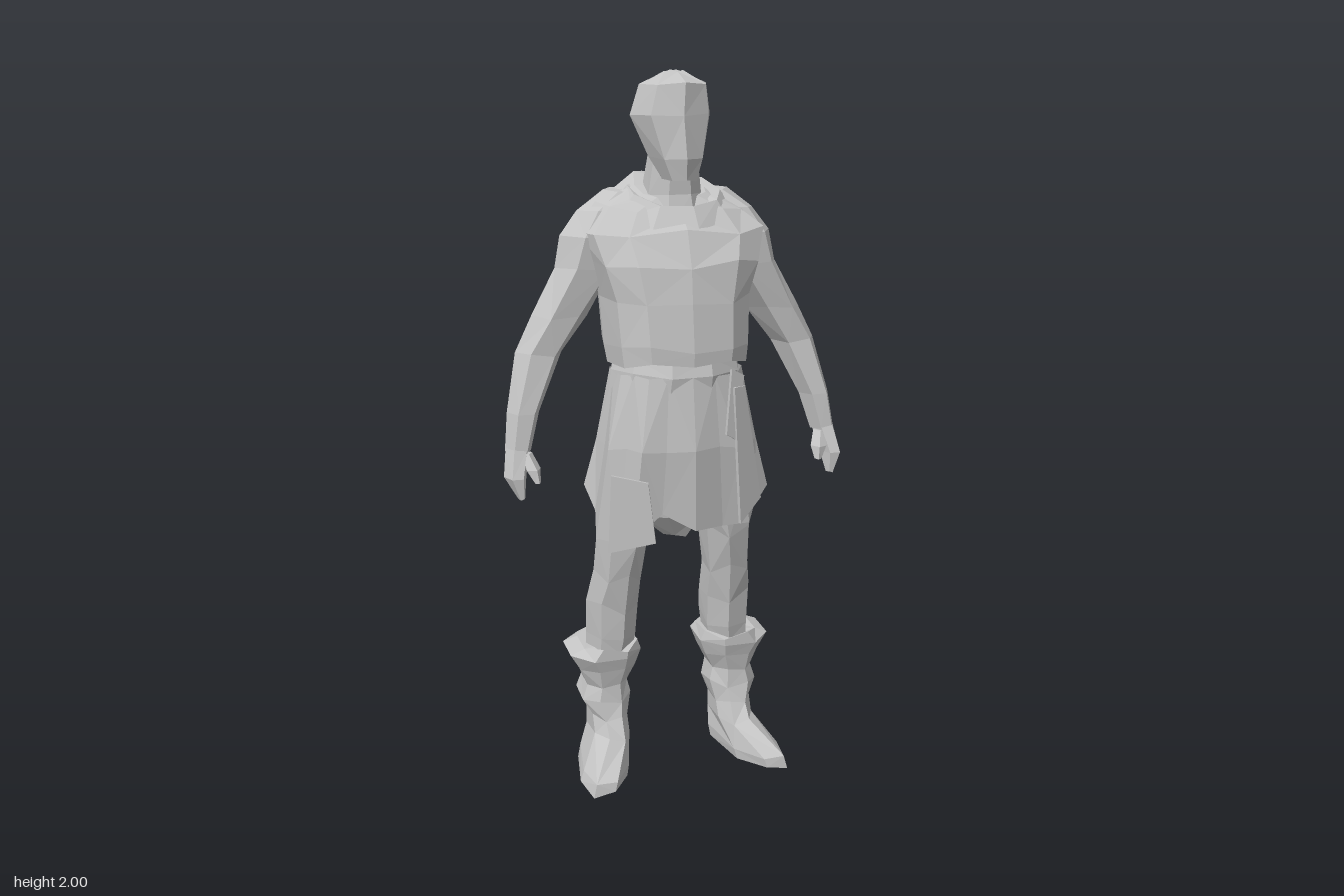
import * as THREE from 'three';

const grey = new THREE.MeshStandardMaterial({ color: 0xc4c4c4, flatShading: true, side: THREE.DoubleSide });
grey.name = 'plain grey';

// Repeatable small offset that keeps the facets irregular
const wobble = (i, j) => {
  const s = Math.sin(i * 12.99 + j * 78.23 + 1.7) * 43758.55;
  return s - Math.floor(s) - 0.5;
};
const power = (v, p) => Math.sign(v) * Math.abs(v) ** p;

// Loft through level rings, listed bottom up: [y, xMin, xMax, zBack, zFront, frontTilt]
// A square value below 1 makes the rings boxier
function loft(name, rows, { n = 8, side = 1, corner = true, caps = true, rough = 0.012, square = 1, shape } = {}) {
  const pos = [], index = [];
  const phase = corner ? Math.PI / n : 0;
  const fit = corner ? 1 / Math.cos(Math.PI / n) ** square : 1;
  rows.forEach(([y, x0, x1, z0, z1, tilt = 0], r) => {
    for (let i = 0; i < n; i++) {
      const t = phase + (i / n) * Math.PI * 2;
      const c = power(Math.cos(t), square) * fit, s = power(Math.sin(t), square) * fit;
      const v = new THREE.Vector3(
        (x0 + x1) / 2 + c * (x1 - x0) / 2,
        y + tilt * s + wobble(i, r) * rough,
        (z0 + z1) / 2 + s * (z1 - z0) / 2);
      if (shape) shape(v, i, r);
      pos.push(v.x * side, v.y, v.z);
    }
  });
  const face = (a, b, c) => (side > 0 ? index.push(a, b, c) : index.push(a, c, b));
  for (let r = 0; r < rows.length - 1; r++) {
    for (let i = 0; i < n; i++) {
      const a = r * n + i, b = r * n + (i + 1) % n;
      // alternate the diagonals for a hand-cut look
      if ((i + r) % 2) { face(a, a + n, b); face(b, a + n, b + n); }
      else { face(a, a + n, b + n); face(a, b + n, b); }
    }
  }
  if (caps) {
    const top = (rows.length - 1) * n;
    for (let i = 1; i < n - 1; i++) {
      face(0, i, i + 1);
      face(top, top + i + 1, top + i);
    }
  }
  const geo = new THREE.BufferGeometry();
  geo.setAttribute('position', new THREE.Float32BufferAttribute(pos, 3));
  geo.setIndex(index);
  return finish(name, geo.toNonIndexed());
}

function finish(name, geo) {
  geo.computeVertexNormals();
  const mesh = new THREE.Mesh(geo, grey);
  mesh.name = name;
  return mesh;
}

// Thin hanging piece of cloth, cut from an outline in the xy plane
function flap(name, points, z, turn) {
  const shape = new THREE.Shape(points.map(([x, y]) => new THREE.Vector2(x, y)));
  const geo = new THREE.ExtrudeGeometry(shape, { depth: 0.009, bevelEnabled: false });
  geo.computeBoundingBox();
  const mid = geo.boundingBox.getCenter(new THREE.Vector3());
  geo.translate(-mid.x, -mid.y, -mid.z).rotateY(turn).translate(mid.x, mid.y, z);
  return finish(name, geo);
}

// Hem heights around the skirt: left side, front, right side, back
const HEM = [0.83, 0.85, 0.8, 0.77, 0.77, 0.77, 0.82, 0.75, 0.73, 0.74,
  0.8, 0.86, 0.84, 0.79, 0.77, 0.715, 0.75, 0.77, 0.83, 0.85];

export function createModel() {
  const model = new THREE.Group();
  model.name = 'standingFigure';

  // Head and neck
  model.add(loft('head', [
    [1.715, -0.05, 0.045, -0.02, 0.11],
    [1.775, -0.08, 0.07, -0.092, 0.122],
    [1.885, -0.123, 0.102, -0.132, 0.112],
    [1.965, -0.098, 0.09, -0.12, 0.105],
    [1.998, -0.02, 0.03, -0.075, 0.01]
  ], { corner: false, rough: 0.008 }));
  model.add(loft('neck', [
    [1.58, -0.09, 0.09, -0.13, 0.07],
    [1.68, -0.075, 0.075, -0.11, 0.045],
    [1.79, -0.06, 0.06, -0.09, 0.05]
  ]));

  // Tunic body, broad across the back, with the neckline dipping at the front
  model.add(loft('tunicBody', [
    [1.23, -0.2, 0.19, -0.155, 0.187],
    [1.28, -0.207, 0.197, -0.172, 0.188],
    [1.4, -0.215, 0.205, -0.178, 0.172],
    [1.5, -0.245, 0.24, -0.188, 0.155],
    [1.58, -0.27, 0.27, -0.19, 0.11],
    [1.645, -0.21, 0.21, -0.17, 0.06, -0.012],
    [1.7, -0.1, 0.1, -0.13, 0.03, -0.035]
  ], { n: 12, corner: false, square: 0.8, rough: 0.024 }));

  // Rolled collar around the neck
  model.add(loft('collar', [
    [1.62, -0.18, 0.185, -0.165, 0.105, -0.035],
    [1.685, -0.125, 0.14, -0.13, 0.07, -0.035],
    [1.675, -0.08, 0.085, -0.1, 0.045, -0.035]
  ], { n: 9, caps: false, corner: false }));

  // Waist belt
  model.add(loft('belt', [
    [1.16, -0.195, 0.18, -0.145, 0.175],
    [1.205, -0.19, 0.18, -0.145, 0.18],
    [1.25, -0.18, 0.175, -0.14, 0.165]
  ], { n: 10, corner: false }));

  // Pleated skirt with a ragged hem
  model.add(loft('skirt', [
    [0, -0.262, 0.268, -0.178, 0.178],
    [1.0, -0.228, 0.222, -0.158, 0.196],
    [1.2, -0.185, 0.178, -0.14, 0.172]
  ], {
    n: 20, caps: false, corner: false, square: 0.85,
    shape: (v, i, r) => {
      const pleat = i % 2 ? 1 : [0.9, 0.92, 0.98][r];
      v.x *= pleat;
      v.z *= pleat;
      if (r === 0) v.y = HEM[i];
    }
  }));

  // Loose cloth panels and belt tail
  model.add(flap('rightFrontPanel', [[-0.23, 0.94], [-0.13, 0.92], [-0.11, 0.75], [-0.24, 0.72]], 0.163, -0.35));
  model.add(flap('leftFrontPanel', [[0.1, 1.17], [0.14, 1.17], [0.21, 0.84], [0.13, 0.78]], 0.166, 0.45));
  model.add(flap('beltTail', [[0.1, 1.22], [0.14, 1.2], [0.12, 1.02], [0.085, 1.04]], 0.18, 0.25));

  // Undergarment between the legs
  model.add(loft('undergarment', [
    [0.715, -0.04, 0.04, -0.06, 0.05],
    [0.79, -0.12, 0.12, -0.1, 0.09],
    [0.95, -0.17, 0.17, -0.12, 0.12]
  ]));

  for (const side of [1, -1]) {
    const label = side > 0 ? 'left' : 'right';

    // Arm from shoulder down to the wrist
    model.add(loft(label + 'Arm', [
      [0.99, 0.415, 0.487, -0.045, 0.045],
      [1.1, 0.385, 0.475, -0.075, 0.035],
      [1.25, 0.31, 0.44, -0.13, 0.01],
      [1.35, 0.235, 0.39, -0.145, 0.015],
      [1.48, 0.15, 0.322, -0.175, 0.03],
      [1.57, 0.11, 0.305, -0.19, 0.035],
      [1.635, 0.09, 0.255, -0.18, 0.01],
      [1.685, 0.06, 0.18, -0.14, -0.03]
    ], { n: 6, side, corner: false }));
    model.add(loft(label + 'Hand', [
      [0.87, 0.445, 0.465, 0.035, 0.07],
      [0.93, 0.435, 0.497, -0.02, 0.075],
      [1.0, 0.418, 0.485, -0.045, 0.045]
    ], { n: 6, side, corner: false, rough: 0.006 }));
    model.add(loft(label + 'Thumb', [
      [0.915, 0.405, 0.42, 0.05, 0.078],
      [0.95, 0.403, 0.44, 0.02, 0.07],
      [0.99, 0.42, 0.45, 0.0, 0.04]
    ], { n: 5, side, rough: 0 }));

    // Trouser leg
    model.add(loft(label + 'Leg', [
      [0.34, 0.115, 0.25, -0.165, 0.01],
      [0.42, 0.105, 0.25, -0.168, 0.02],
      [0.5, 0.1, 0.252, -0.15, 0.03],
      [0.6, 0.1, 0.235, -0.12, 0.055],
      [0.72, 0.08, 0.232, -0.1, 0.08],
      [0.88, 0.03, 0.225, -0.1, 0.1]
    ], { n: 7, side, corner: false, rough: 0.045 }));

    // Boot with a flared cuff, pinched bindings and a turned-out toe
    model.add(loft(label + 'Boot', [
      [0.006, 0.14, 0.28, -0.17, 0.17],
      [0.045, 0.135, 0.27, -0.18, 0.165],
      [0.11, 0.14, 0.245, -0.165, 0.055],
      [0.16, 0.14, 0.245, -0.155, 0.02],
      [0.21, 0.125, 0.27, -0.175, 0.005],
      [0.26, 0.135, 0.255, -0.17, 0.0],
      [0.31, 0.11, 0.275, -0.18, 0.01],
      [0.352, 0.093, 0.305, -0.198, 0.02],
      [0.375, 0.105, 0.265, -0.18, 0.02]
    ], {
      side, rough: 0.018, square: 0.9,
      shape: (v, i, r) => { if (r < 2) { v.x += Math.max(0, v.z + 0.05) * 0.24; v.y = Math.max(0, v.y); } }
    }));
  }
  return model;
}
